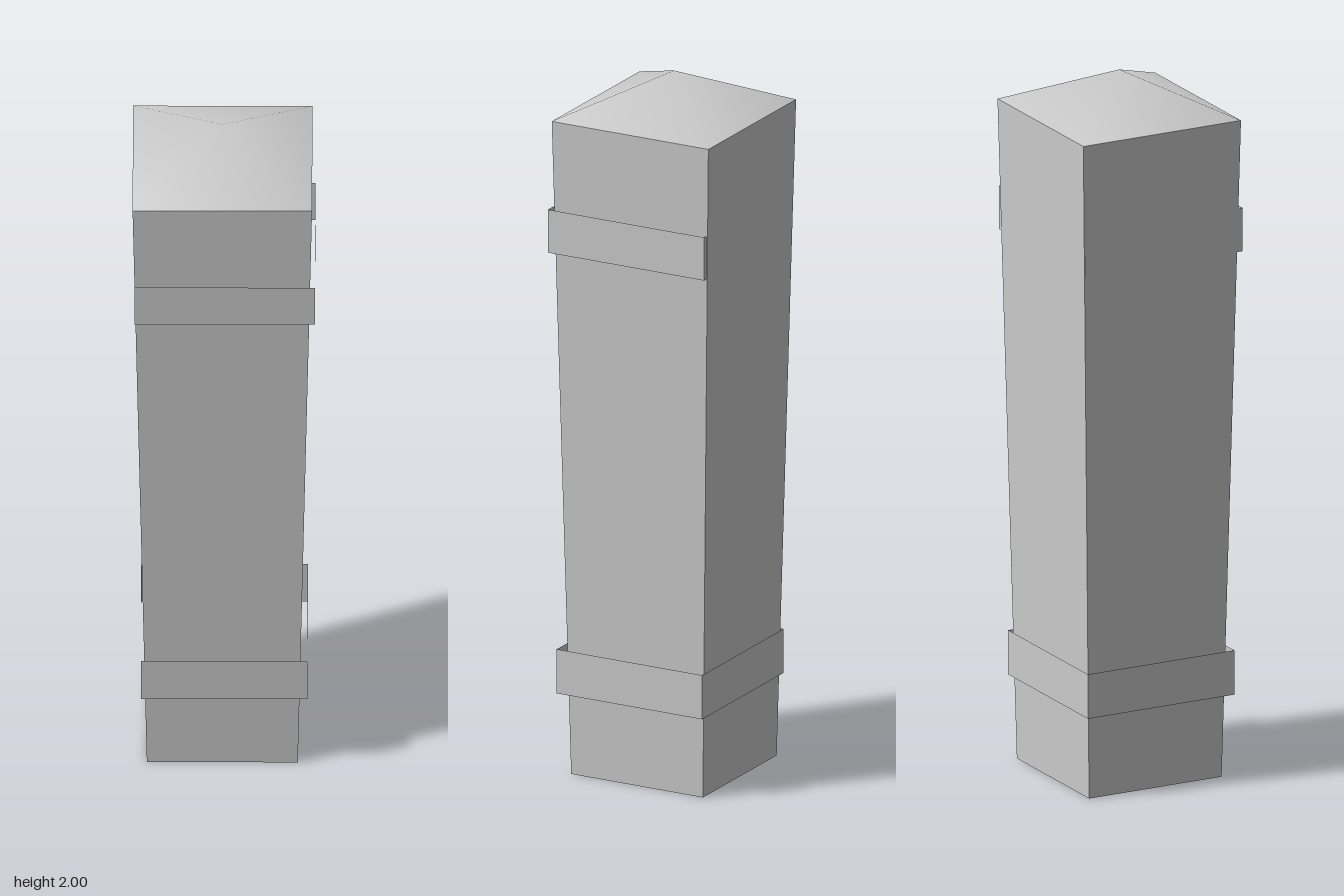
import * as THREE from 'three';

const material = new THREE.MeshStandardMaterial({ color: 0xcccccc, side: THREE.DoubleSide });
const flatMaterial = material.clone();
flatMaterial.flatShading = true;

const AXIS = -0.004; // the post stands slightly off the origin in x and z
const EAVES = 1.885;

// Four-sided open sleeve with half-widths at its bottom and top.
function sleeve(name, bottomHalf, topHalf, y0, y1) {
  const geometry = new THREE.CylinderGeometry(
    topHalf * Math.SQRT2, bottomHalf * Math.SQRT2, y1 - y0, 4, 1, true);
  geometry.rotateY(Math.PI / 4);
  geometry.translate(0, (y0 + y1) / 2, 0);
  const mesh = new THREE.Mesh(geometry, flatMaterial);
  mesh.name = name;
  return mesh;
}

// Pyramid with shared corners, so its shading blends across the ridges.
function pyramid(name, half, y0, y1) {
  const geometry = new THREE.BufferGeometry();
  geometry.setAttribute('position', new THREE.Float32BufferAttribute([
    -half, y0, half, half, y0, half, half, y0, -half, -half, y0, -half, 0, y1, 0], 3));
  geometry.setIndex([0, 1, 4, 1, 2, 4, 2, 3, 4, 3, 0, 4]);
  geometry.computeVertexNormals();
  const mesh = new THREE.Mesh(geometry, material);
  mesh.name = name;
  return mesh;
}

export function createModel() {
  const post = new THREE.Group();
  post.name = 'post';

  // Tapered shaft, open underneath, with its pointed cap
  const shaft = sleeve('shaft', 0.206, 0.245, 0, EAVES);
  const cap = pyramid('cap', 0.245, EAVES, 2);
  for (const part of [shaft, cap]) part.position.set(AXIS, 0, AXIS);

  // Straight open bands, a little off the shaft's axis
  const lowerBand = sleeve('lowerBand', 0.2275, 0.2275, 0.235, 0.362);
  lowerBand.position.set(0.001, 0, 0.005);
  const upperBand = sleeve('upperBand', 0.2455, 0.2455, 1.508, 1.632);
  upperBand.position.set(0.0025, 0, 0.0045);
  upperBand.scale.set(1.004, 1, 0.994);

  post.add(shaft, cap, lowerBand, upperBand);
  return post;
}
